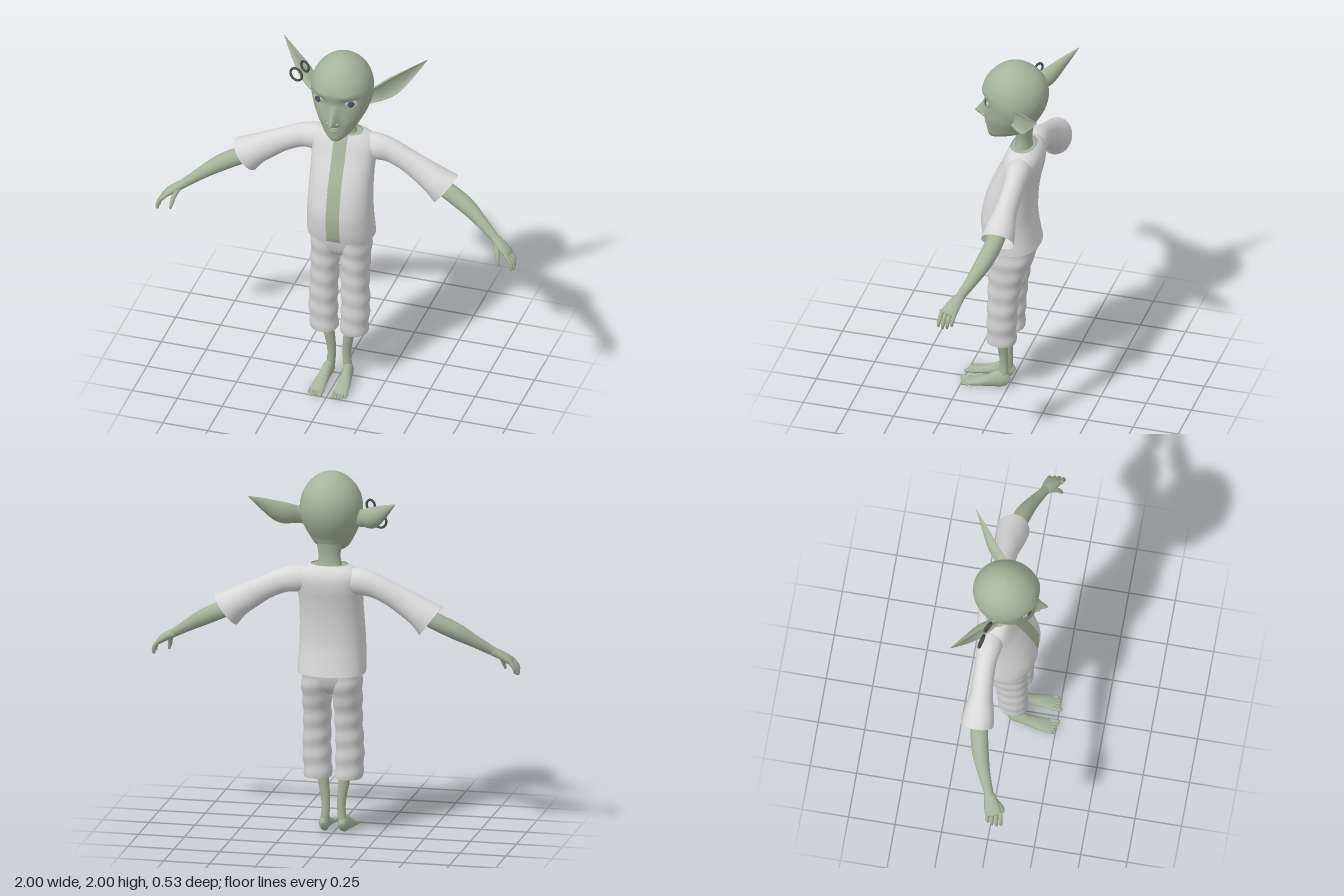
import * as THREE from 'three';

const flat = (name, color, side = THREE.FrontSide) => {
  const m = new THREE.MeshStandardMaterial({ color, side });
  m.name = name;
  return m;
};

// Smooth resampling of every column of a small table
function resample(rows, n) {
  const out = [], last = rows.length - 1;
  for (let k = 0; k <= n; k++) {
    const f = (k / n) * last, i = Math.min(Math.floor(f), last - 1), t = f - i;
    const [a, b, c, d] = [i - 1, i, i + 1, i + 2].map(j => rows[Math.max(0, Math.min(last, j))]);
    out.push(b.map((v, q) => 0.5 * (2 * v + (c[q] - a[q]) * t + (2 * a[q] - 5 * v + 4 * c[q] - d[q]) * t * t
      + (3 * v - a[q] - 3 * c[q] + d[q]) * t * t * t)));
  }
  return out;
}

// Skin over a list of rings of points
function skinRings(rings, { closed = true, caps = true } = {}) {
  if (caps) {
    const mid = r => r.map(() => r.reduce((s, p) => s.add(p), new THREE.Vector3()).divideScalar(r.length));
    rings = [mid(rings[0]), ...rings, mid(rings[rings.length - 1])];
  }
  const n = rings[0].length, idx = [];
  for (let j = 0; j < rings.length - 1; j++) {
    for (let i = 0; i < (closed ? n : n - 1); i++) {
      const a = j * n + i, b = j * n + (i + 1) % n;
      idx.push(a, b, b + n, a, b + n, a + n);
    }
  }
  const g = new THREE.BufferGeometry().setFromPoints(rings.flat());
  g.setIndex(idx);
  g.computeVertexNormals();
  return g;
}

// Horizontal sections, rows of [y, centre x, half width, front z, back z]
function sections(rows, { n = 40, segs = 40, p = 2, gap = 0, caps = true, rule } = {}) {
  const rings = resample(rows, n).map(([y, cx, rx, zf, zb]) => {
    const g = gap ? Math.asin(Math.pow(gap / rx, p / 2)) : 0;
    const count = gap ? segs + 1 : segs;
    return Array.from({ length: count }, (_, i) => {
      const a = g + (i / segs) * (Math.PI * 2 - 2 * g), s = Math.sin(a), c = Math.cos(a);
      const v = new THREE.Vector3(cx + rx * Math.sign(s) * Math.pow(Math.abs(s), 2 / p), y,
        (zf + zb) / 2 + (zf - zb) / 2 * Math.sign(c) * Math.pow(Math.abs(c), 2 / p));
      if (rule) rule(v, a);
      return v;
    });
  });
  return skinRings(rings, { closed: !gap, caps });
}

// Tapered limb, points of [x, y, z, radius, radius along ref]
function limb(points, { n = 20, segs = 16, ref = [0, 0, 1], caps = true, cup = false } = {}) {
  const rows = resample(points.map(p => (p.length < 5 ? [...p, p[3]] : p)), n);
  const at = i => new THREE.Vector3(...rows[Math.max(0, Math.min(n, i))].slice(0, 3));
  const rings = rows.map((row, i) => {
    const T = at(i + 1).sub(at(i - 1)).normalize();
    const N = new THREE.Vector3(...ref);
    N.addScaledVector(T, -N.dot(T)).normalize();
    const B = T.clone().cross(N);
    return Array.from({ length: segs }, (_, k) => {
      const a = (k / segs) * Math.PI * 2, c = Math.cos(a);
      return at(i).addScaledVector(B, row[3] * Math.sin(a))
        .addScaledVector(N, row[4] * (cup && c > 0 ? -0.45 * c : c));
    });
  });
  return skinRings(rings, { caps });
}

export function createModel() {
  const skin = flat('green skin', 0xa6b29b);
  const shirtCloth = flat('shirt cloth', 0xd8d8d8, THREE.DoubleSide);
  const trouserCloth = flat('trouser cloth', 0xd0d0d0, THREE.DoubleSide);
  const eyeWhite = flat('eye white', 0xc2c3ca);
  const iris = flat('dark iris', 0x50545a);
  const metal = flat('dark metal', 0x4c4c48);

  const model = new THREE.Group();
  const add = (name, geo, mat) => {
    const m = new THREE.Mesh(geo, mat);
    m.name = name;
    model.add(m);
    return m;
  };
  const bump = (d, w) => Math.exp(-(d * d) / (w * w));

  // Head, with nose and eye sockets pushed out of the face
  add('head', sections([
    [1.538, 0, 0.025, 0.112, 0.07], [1.555, 0, 0.05, 0.12, 0.02], [1.58, 0, 0.078, 0.125, -0.05],
    [1.61, 0, 0.1, 0.13, -0.115], [1.65, 0, 0.122, 0.134, -0.14], [1.69, 0, 0.142, 0.133, -0.165],
    [1.74, 0, 0.158, 0.131, -0.19], [1.79, 0, 0.167, 0.138, -0.204], [1.84, 0, 0.165, 0.147, -0.206],
    [1.89, 0, 0.15, 0.133, -0.193], [1.935, 0, 0.122, 0.1, -0.163], [1.97, 0, 0.085, 0.06, -0.12],
    [1.992, 0, 0.045, 0.015, -0.075], [2, 0, 0.004, -0.026, -0.034],
  ], {
    n: 90, segs: 96, rule: v => {
      if (v.z < 0.03) return;
      const up = v.y - 1.672;
      const rise = up > 0 ? Math.max(0, 1 - up / 0.11) ** 1.3 : Math.max(0, 1 + up / 0.03);
      v.z += 0.066 * rise * bump(v.x, 0.021);
      v.z -= 0.014 * bump(Math.abs(v.x) - 0.082, 0.038) * bump(v.y - 1.785, 0.028);
      v.z += 0.006 * bump(Math.abs(v.x) - 0.07, 0.045) * bump(v.y - 1.835, 0.02);
    },
  }), skin);
  add('neck', sections([[1.44, 0, 0.085, 0, -0.14], [1.5, 0, 0.067, -0.025, -0.122],
    [1.56, 0, 0.06, -0.032, -0.118], [1.64, 0, 0.075, -0.01, -0.13]], { n: 14, segs: 28 }), skin);
  add('upperLip', limb([[-0.04, 1.624, 0.117, 0.003], [0, 1.63, 0.135, 0.007], [0.04, 1.624, 0.117, 0.003]],
    { segs: 10 }), skin);
  add('lowerLip', limb([[-0.036, 1.619, 0.117, 0.003], [0, 1.612, 0.131, 0.008], [0.036, 1.619, 0.117, 0.003]],
    { segs: 10 }), skin);

  // Shirt, open down the middle, over the bare torso
  const body = [[0.9, 0, 0.182, 0.127, -0.168], [0.94, 0, 0.182, 0.138, -0.16], [1.0, 0, 0.179, 0.147, -0.15],
    [1.08, 0, 0.176, 0.148, -0.141], [1.2, 0, 0.172, 0.122, -0.145], [1.3, 0, 0.172, 0.085, -0.16],
    [1.38, 0, 0.176, 0.047, -0.178], [1.44, 0, 0.178, 0.022, -0.18], [1.48, 0, 0.152, 0.004, -0.165],
    [1.505, 0, 0.1, -0.008, -0.14]];
  add('shirt', sections(body, { segs: 56, p: 2.3, gap: 0.037, caps: false }), shirtCloth);
  add('torso', sections(body.map(([y, x, w, f, b], i) => [i ? y - 0.004 : 0.905, x, w - 0.01, f - 0.006, b + 0.01]),
    { segs: 48, p: 2.3 }), skin);

  // Trouser seat joining both legs
  add('trouserSeat', sections([[0.785, 0, 0.07, 0.06, -0.07], [0.82, 0, 0.135, 0.085, -0.11],
    [0.87, 0, 0.155, 0.102, -0.13], [0.94, 0, 0.157, 0.11, -0.138]], { n: 12, p: 2.3 }), trouserCloth);

  for (const s of [1, -1]) {
    const side = s > 0 ? 'left' : 'right';
    const part = (name, points, opts, mat = skin) =>
      add(side + name, limb(points.map(([x, ...r]) => [s * x, ...r]), opts), mat);

    // Eye: ball, iris and lids
    const eye = new THREE.Group();
    eye.name = side + 'Eye';
    eye.position.set(s * 0.085, 1.788, 0.093);
    eye.rotation.y = s * 0.42;
    const bits = [['eyeball', new THREE.SphereGeometry(1, 24, 16), eyeWhite, [0.038, 0.022, 0.022], 0],
      ['iris', new THREE.SphereGeometry(1, 20, 12), iris, [0.019, 0.019, 0.006], 0.0185],
      ['eyelids', new THREE.TorusGeometry(1, 0.16, 10, 32), skin, [0.037, 0.023, 0.035], 0.008]];
    for (const [name, geo, mat, scale, z] of bits) {
      const m = new THREE.Mesh(geo, mat);
      m.name = name;
      m.scale.set(...scale);
      m.position.z = z;
      eye.add(m);
    }
    model.add(eye);
    const nostril = add(side + 'Nostril', new THREE.SphereGeometry(1, 14, 10), skin);
    nostril.scale.set(0.015, 0.011, 0.02);
    nostril.position.set(s * 0.021, 1.667, 0.137);

    // Long cupped ear
    part('Ear', [[0.125, 1.745, -0.03, 0.04, 0.03], [0.185, 1.762, -0.065, 0.048, 0.04],
      [0.25, 1.785, -0.125, 0.056, 0.046], [0.325, 1.84, -0.192, 0.034, 0.026], [0.4, 1.9, -0.262, 0.002, 0.002]],
    { n: 28, segs: 28, ref: [s * 0.63, 0, 0.77], cup: true });

    // Sleeve with flared cuff
    part('Sleeve', [[0.08, 1.425, -0.09, 0.06, 0.06], [0.17, 1.42, -0.09, 0.073, 0.068],
      [0.25, 1.403, -0.095, 0.066, 0.058], [0.34, 1.362, -0.095, 0.064, 0.057], [0.42, 1.317, -0.092, 0.072, 0.062],
      [0.5, 1.268, -0.09, 0.082, 0.08], [0.557, 1.226, -0.09, 0.1, 0.088]],
    { n: 30, segs: 32, caps: false }, shirtCloth);

    // Arm and hand
    part('Arm', [[0.4, 1.32, -0.09, 0.04], [0.55, 1.235, -0.08, 0.046], [0.68, 1.168, -0.053, 0.045],
      [0.78, 1.105, -0.015, 0.033], [0.87, 1.045, 0.028, 0.024], [0.89, 1.032, 0.035, 0.024]], { n: 24 });
    part('Palm', [[0.86, 1.05, 0.022, 0.022, 0.024], [0.9, 1.028, 0.042, 0.023, 0.036],
      [0.94, 1.002, 0.058, 0.02, 0.044], [0.962, 0.982, 0.066, 0.013, 0.04]], { n: 12 });
    for (let i = 0; i < 4; i++) {
      const z = 0.03 + i * 0.024, len = [0.8, 0.95, 1, 0.9][i];
      part('Finger' + (i + 1), [[0.945, 1.0, z, 0.012], [0.945 + 0.034 * len, 1 - 0.036 * len, z + 0.004, 0.011],
        [0.945 + 0.046 * len, 1 - 0.066 * len, z + 0.008, 0.01], [0.945 + 0.045 * len, 1 - 0.09 * len, z + 0.01, 0.006]],
      { n: 10, segs: 10 });
    }
    part('Thumb', [[0.885, 1.03, 0.055, 0.014], [0.902, 0.995, 0.088, 0.013], [0.908, 0.962, 0.105, 0.011],
      [0.915, 0.932, 0.113, 0.006]], { n: 10, segs: 10 });

    // Trouser leg with soft wrinkles
    add(side + 'TrouserLeg', sections([[0.31, s * 0.083, 0.073, 0.1, -0.053], [0.38, s * 0.087, 0.075, 0.102, -0.055],
      [0.48, s * 0.09, 0.075, 0.1, -0.06], [0.6, s * 0.086, 0.073, 0.097, -0.072], [0.72, s * 0.084, 0.075, 0.096, -0.095],
      [0.8, s * 0.082, 0.08, 0.097, -0.122], [0.86, s * 0.08, 0.08, 0.1, -0.132], [0.93, s * 0.076, 0.08, 0.107, -0.137]], {
      n: 50, segs: 32, p: 2.2, caps: false, rule: (v, a) => {
        const w = 0.003 * Math.sin(v.y * 62 + Math.sin(a) * 0.8);
        v.x += w * Math.sin(a);
        v.z += w * Math.cos(a);
      },
    }), trouserCloth);

    // Shin, foot and toes
    part('Shin', [[0.068, 0.46, 0.028, 0.036], [0.058, 0.3, 0.03, 0.031], [0.045, 0.2, 0.025, 0.025],
      [0.043, 0.13, 0.023, 0.023], [0.05, 0.05, 0.022, 0.024]], { n: 16 });
    part('Foot', [[0.051, 0.034, -0.002, 0.016, 0.024], [0.052, 0.046, 0.02, 0.027, 0.043],
      [0.054, 0.05, 0.05, 0.029, 0.048], [0.06, 0.036, 0.1, 0.031, 0.034], [0.064, 0.024, 0.16, 0.037, 0.022],
      [0.065, 0.015, 0.21, 0.04, 0.014], [0.065, 0.012, 0.228, 0.036, 0.009]], { n: 20, segs: 20, ref: [0, 1, 0] });
    for (let i = 0; i < 5; i++) {
      const x = 0.034 + i * 0.0165, r = i ? 0.008 : 0.011, end = 0.264 - i * 0.005;
      part('Toe' + (i + 1), [[x, 0.015, 0.205, r], [x, 0.016, 0.235, r], [x, 0.012, end - 0.008, r],
        [x, 0.01, end, r * 0.5]], { n: 8, segs: 10, ref: [0, 1, 0] });
    }
  }

  // Two earrings on the right ear
  for (const [name, x, y, z, r, turn] of [['largeEarring', -0.285, 1.765, -0.115, 0.036, 0.25],
    ['smallEarring', -0.228, 1.842, -0.09, 0.029, 0.5]]) {
    const ring = add(name, new THREE.TorusGeometry(r, 0.0065, 10, 32), metal);
    ring.position.set(x, y, z);
    ring.rotation.y = -turn;
  }
  return model;
}
